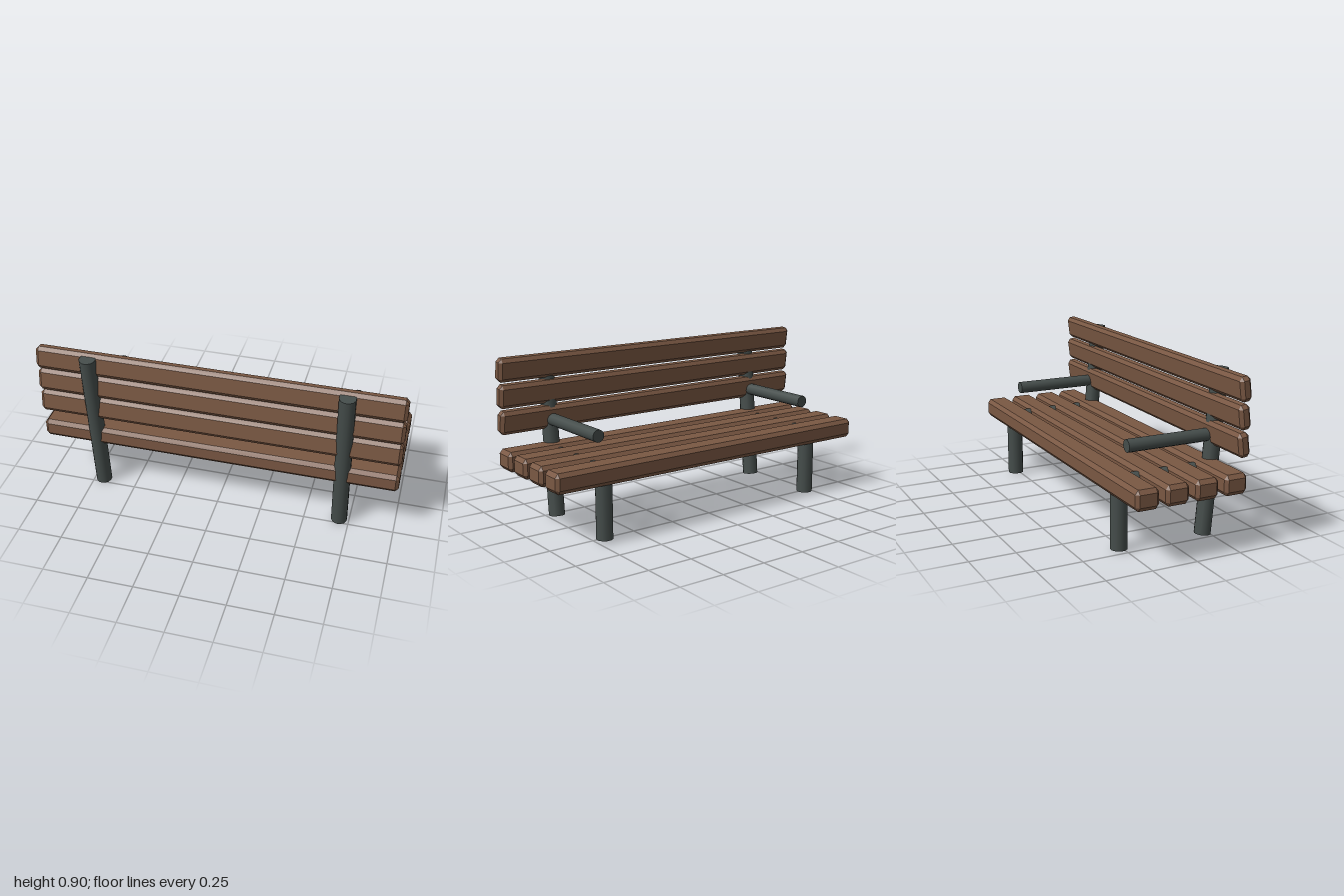
import * as THREE from 'three';
import { ConvexGeometry } from 'three/addons/geometries/ConvexGeometry.js';

const wood = new THREE.MeshStandardMaterial({ color: 0x7a5843, flatShading: true });
const metal = new THREE.MeshStandardMaterial({ color: 0x454d4b });

// Box with every edge and corner chamfered; c holds the chamfer along each axis
function chamferedBox(size, c) {
  const points = [];
  for (const sx of [-1, 1]) for (const sy of [-1, 1]) for (const sz of [-1, 1]) {
    const s = [sx, sy, sz];
    for (let face = 0; face < 3; face++) {
      const p = s.map((sign, i) => sign * (size[i] / 2 - (i === face ? 0 : c[i])));
      points.push(new THREE.Vector3(...p));
    }
  }
  return new ConvexGeometry(points);
}

// Round bar between two points
function bar(name, from, to, radius) {
  const a = new THREE.Vector3(...from);
  const b = new THREE.Vector3(...to);
  const geometry = new THREE.CylinderGeometry(radius, radius, a.distanceTo(b), 12);
  geometry.rotateY(Math.PI / 12);
  const mesh = new THREE.Mesh(geometry, metal);
  mesh.name = name;
  mesh.position.copy(a).add(b).multiplyScalar(0.5);
  mesh.quaternion.setFromUnitVectors(new THREE.Vector3(0, 1, 0), b.sub(a).normalize());
  return mesh;
}

export function createModel() {
  const bench = new THREE.Group();
  bench.name = 'bench';

  // Four seat slats, the sitter faces -z
  const seat = new THREE.Group();
  seat.name = 'seat';
  const seatGeometry = chamferedBox([2, 0.108, 0.128], [0.018, 0.022, 0.017]);
  for (let i = 0; i < 4; i++) {
    const slat = new THREE.Mesh(seatGeometry, wood);
    slat.name = 'seatSlat';
    slat.position.set(0, 0.359, 0.217 - i * 0.1643);
    seat.add(slat);
  }

  // Three tilted backrest slats
  const backrest = new THREE.Group();
  backrest.name = 'backrest';
  const backGeometry = chamferedBox([2, 0.128, 0.062], [0.018, 0.02, 0.016]);
  for (let i = 0; i < 3; i++) {
    const slat = new THREE.Mesh(backGeometry, wood);
    slat.name = 'backSlat';
    slat.position.set(0, 0.554 + i * 0.14, 0.258);
    slat.rotation.x = -0.13;
    backrest.add(slat);
  }
  bench.add(seat, backrest);

  // Mirrored side frames
  for (const side of [-1, 1]) {
    const x = side * 0.695;
    const frame = new THREE.Group();
    frame.name = side > 0 ? 'leftFrame' : 'rightFrame';
    frame.add(
      bar('backPost', [x, 0.004, 0.217], [x, 0.884, 0.298], 0.045),
      bar('frontLeg', [x, 0.008, -0.275], [x, 0.36, -0.275], 0.045),
      bar('seatRail', [x, 0.36, 0.24], [x, 0.36, -0.275], 0.04),
      bar('armrest', [x, 0.539, 0.26], [x, 0.539, -0.235], 0.034),
    );
    bench.add(frame);
  }
  return bench;
}
